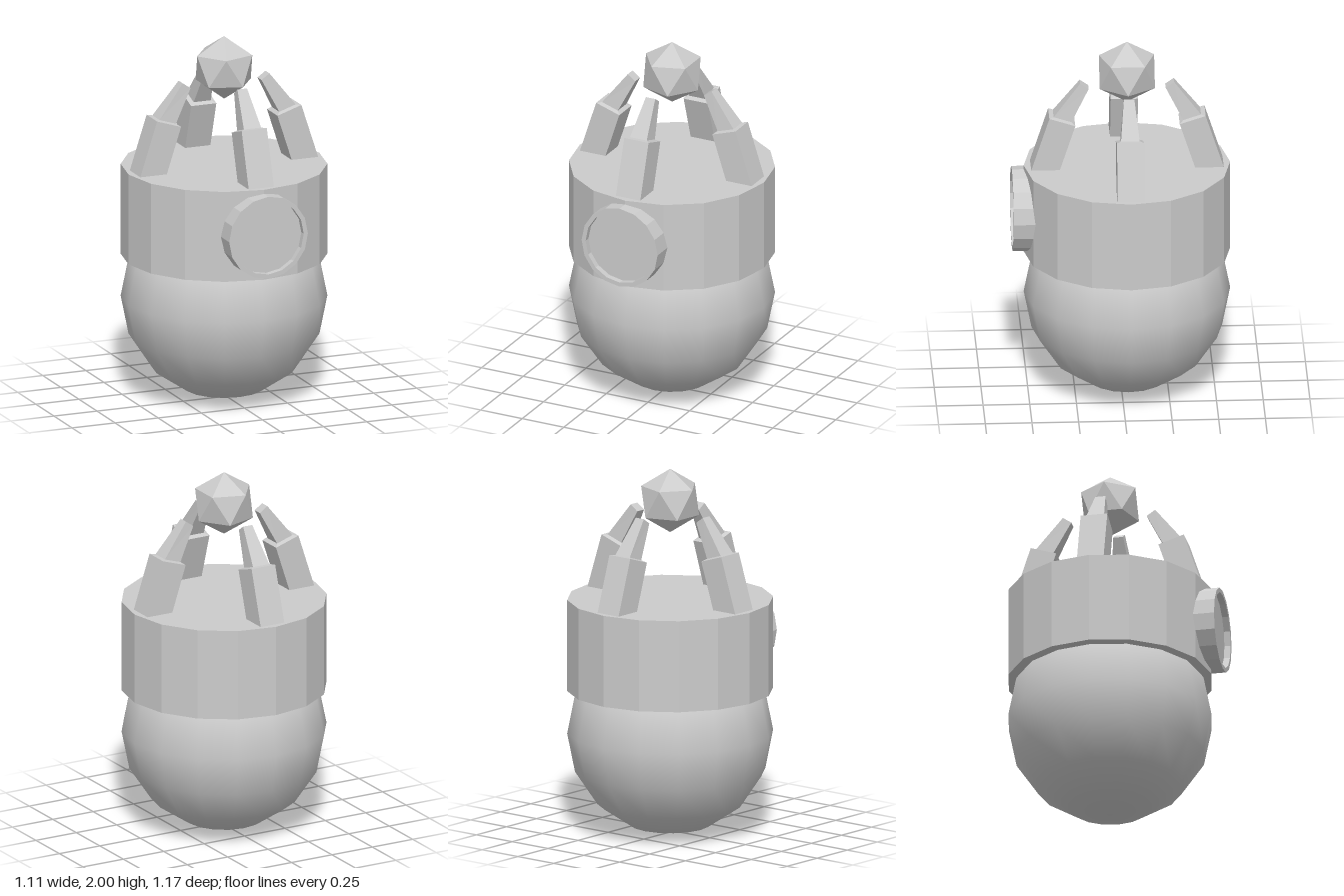
import * as THREE from 'three';

const flat = new THREE.MeshStandardMaterial({ color: 0xcccccc, flatShading: true });
const smooth = new THREE.MeshStandardMaterial({ color: 0xcccccc });
const flatDouble = new THREE.MeshStandardMaterial({ color: 0xcccccc, flatShading: true, side: THREE.DoubleSide });

function add(parent, name, geometry, material, y = 0) {
  const mesh = new THREE.Mesh(geometry, material);
  mesh.name = name;
  mesh.position.y = y;
  parent.add(mesh);
  return mesh;
}

// Square cross-sections [x, y, half width, tilt in degrees] joined into a closed solid
function loftSquares(sections) {
  const positions = [], index = [];
  for (const [x, y, h, degrees] of sections) {
    const t = THREE.MathUtils.degToRad(degrees);
    for (const [u, v] of [[h, h], [h, -h], [-h, -h], [-h, h]]) {
      positions.push(x + u * Math.cos(t), y + u * Math.sin(t), v);
    }
  }
  for (let s = 0; s < sections.length - 1; s++) {
    for (let i = 0; i < 4; i++) {
      const a = s * 4 + i, b = s * 4 + (i + 1) % 4;
      index.push(a, b, b + 4, a, b + 4, a + 4);
    }
  }
  const e = (sections.length - 1) * 4;
  index.push(0, 2, 1, 0, 3, 2, e, e + 1, e + 2, e, e + 2, e + 3);
  const indexed = new THREE.BufferGeometry();
  indexed.setAttribute('position', new THREE.Float32BufferAttribute(positions, 3));
  indexed.setIndex(index);
  const geometry = indexed.toNonIndexed();
  geometry.computeVertexNormals();
  return geometry;
}

export function createModel() {
  const model = new THREE.Group();
  model.name = 'clawedOrbHolder';

  // Everything but the front ring is centred on one slightly set back axis
  const core = new THREE.Group();
  core.name = 'core';
  core.position.z = -0.032;
  model.add(core);

  // Round bottom and faceted collar
  add(core, 'roundBase', new THREE.SphereGeometry(0.553, 16, 8), smooth, 0.558);
  add(core, 'collar', new THREE.CylinderGeometry(0.553, 0.553, 0.5, 16), flat, 1.04);

  // Four bent claws: thick lower segment, small inset step, tapered tip
  const claw = loftSquares([
    [0.45, 1.256, 0.073, 18],
    [0.349, 1.567, 0.073, 18],
    [0.347, 1.574, 0.05, 18],
    [0.229, 1.756, 0.028, 35],
  ]);
  ['leftClaw', 'backClaw', 'rightClaw', 'frontClaw'].forEach((name, i) => {
    add(core, name, claw, flat).rotation.y = i * Math.PI / 2;
  });

  // Floating gem, standing on a corner
  const gem = new THREE.IcosahedronGeometry(0.174, 0);
  gem.rotateZ(Math.atan2(2, 1 + Math.sqrt(5)));
  add(core, 'gem', gem, flat, 1.826);

  // Round front socket with a thin rim and a recessed face
  const profile = [[0.228, 0.44], [0.228, 0.584], [0.204, 0.584], [0.204, 0.55], [0, 0.55]]
    .map(([r, z]) => new THREE.Vector2(r, z));
  const socket = new THREE.LatheGeometry(profile, 16);
  socket.rotateX(Math.PI / 2);
  add(model, 'frontSocket', socket, flatDouble, 1.04);

  return model;
}
